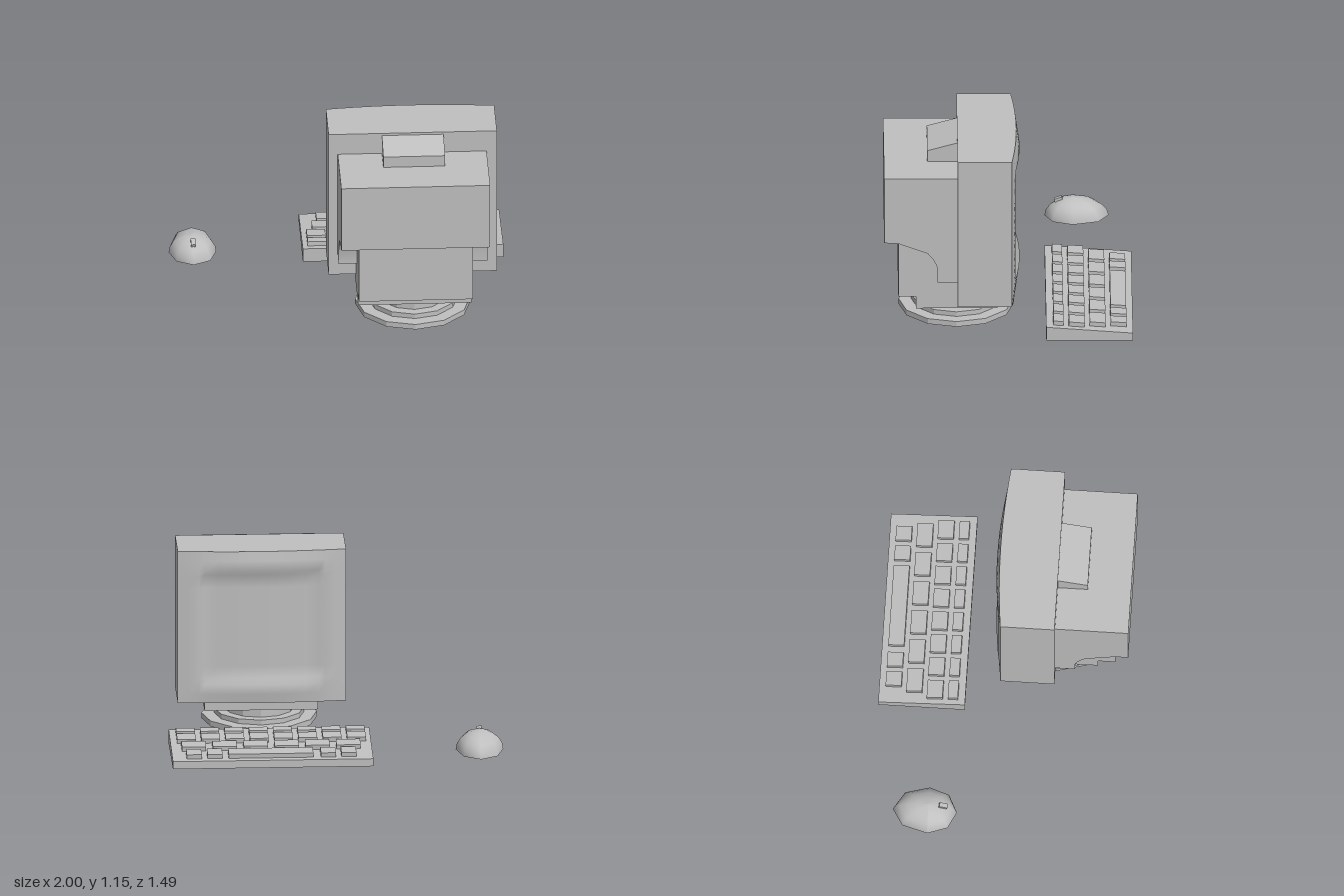
import * as THREE from 'three';
import { toCreasedNormals } from 'three/addons/utils/BufferGeometryUtils.js';

const plastic = new THREE.MeshStandardMaterial({ name: 'greyPlastic', color: 0xc0c0c0 });
const flatPlastic = plastic.clone();
flatPlastic.flatShading = true;

function add(parent, name, geometry, material = plastic) {
  const mesh = new THREE.Mesh(geometry, material);
  mesh.name = name;
  parent.add(mesh);
  return mesh;
}

// Box from its min and max on each axis
function block(parent, name, [x0, x1], [y0, y1], [z0, z1]) {
  const g = new THREE.BoxGeometry(x1 - x0, y1 - y0, z1 - z0);
  g.translate((x0 + x1) / 2, (y0 + y1) / 2, (z0 + z1) / 2);
  return add(parent, name, g);
}

// Side profile of [z, y] points, extruded from x0 to x1
function sideProfile(parent, name, points, x0, x1) {
  const shape = new THREE.Shape(points.map(([z, y]) => new THREE.Vector2(z, y)));
  const g = new THREE.ExtrudeGeometry(shape, { depth: x1 - x0, bevelEnabled: false });
  g.rotateY(-Math.PI / 2).translate(x1, 0, 0);
  return add(parent, name, toCreasedNormals(g, 0.6));
}

// Front housing: bowed bezel around a sunken, gently curved screen
function housingGeometry() {
  const half = [0, 0.17, 0.34, 0.52, 0.68, 0.75, 0.88, 1];
  const n = half.length - 1;
  const steps = [...half.slice(1).reverse().map(v => -v), ...half];
  const g = new THREE.BoxGeometry(2, 2, 2, 2 * n, 2 * n, 1);
  const p = g.attributes.position;
  const remap = t => steps[Math.round((t + 1) * n)];
  for (let i = 0; i < p.count; i++) {
    const u = remap(p.getX(i)), v = remap(p.getY(i));
    let z = 0.305;
    if (p.getZ(i) < 0) {
      const m = Math.max(Math.abs(u), Math.abs(v)), bow = 1 - u * u;
      z = m > 0.7
        ? -0.02 - (0.03 + 0.02 * (1 - m) / 0.25) * bow
        : -0.005 - 0.03 * bow;
    }
    p.setXYZ(i, 0.43 + 0.505 * u, 0.675 + 0.475 * v, z);
  }
  g.computeVertexNormals();
  return g;
}

function makeMonitor() {
  const monitor = new THREE.Group();
  monitor.name = 'monitor';
  add(monitor, 'screenHousing', housingGeometry());
  sideProfile(monitor, 'rearCabinet', [
    [0.305, 1.015], [0.745, 1.015], [0.745, 0.595], [0.66, 0.59], [0.485, 0.525],
    [0.455, 0.49], [0.435, 0.455], [0.425, 0.42], [0.425, 0.335], [0.305, 0.335],
  ], -0.02, 0.873);
  sideProfile(monitor, 'topWedge',
    [[0.305, 1.01], [0.485, 1.01], [0.485, 1.085], [0.305, 1.135]], 0.245, 0.615);
  block(monitor, 'lowerCabinet', [0.09, 0.773], [0.2, 0.6], [0.3, 0.66]);
  block(monitor, 'swivelBlock', [0.09, 0.77], [0.12, 0.202], [0.065, 0.555]);

  // Stepped round stand
  for (const [name, r, y0, y1] of [
    ['standFoot', 0.346, 0, 0.034], ['standRing', 0.27, 0.034, 0.064], ['standNeck', 0.21, 0.064, 0.122],
  ]) {
    const g = new THREE.CylinderGeometry(r, r, y1 - y0, 12);
    g.translate(0.43, (y0 + y1) / 2, 0.31);
    add(monitor, name, g, flatPlastic);
  }
  return monitor;
}

function makeKeyboard() {
  const keyboard = new THREE.Group();
  keyboard.name = 'keyboard';
  sideProfile(keyboard, 'keyboardCase',
    [[-0.745, 0.008], [-0.225, 0.008], [-0.225, 0.095], [-0.745, 0.055]], -0.203, 1);

  // Each key lies parallel to the sloping top
  const slope = 0.04 / 0.52;
  function key(x0, width, z0, z1) {
    const z = (z0 + z1) / 2;
    const mesh = add(keyboard, 'key', new THREE.BoxGeometry(width, 0.036, z1 - z0));
    mesh.position.set(x0 + width / 2, 0.095 + (z + 0.225) * slope + 0.009, z);
    mesh.rotation.x = -Math.atan(slope);
  }
  for (const [x, w] of [[-0.103, 0.09], [0.02, 0.09], [0.155, 0.508], [0.7, 0.09], [0.825, 0.09]])
    key(x, w, -0.706, -0.611);
  for (let i = 0; i < 6; i++) key(-0.135 + i * 0.1855, 0.145, -0.58, -0.485);
  for (let i = 0; i < 8; i++) {
    key(-0.172 + i * 0.1457, 0.112, -0.455, -0.36);
    key(-0.172 + i * 0.1457, 0.112, -0.328, -0.268);
  }
  return keyboard;
}

function makeMouse() {
  const mouse = new THREE.Group();
  mouse.name = 'mouse';
  mouse.position.set(-0.857, 0, -0.4);

  // Egg plan: longer towards -z
  const egg = g => {
    const p = g.attributes.position;
    for (let i = 0; i < p.count; i++) {
      const z = p.getZ(i);
      p.setXYZ(i, p.getX(i) * 0.143, p.getY(i) * 0.12, z * (z > 0 ? 0.17 : 0.215));
    }
    g.computeVertexNormals();
    return g;
  };
  add(mouse, 'mouseShell', egg(new THREE.SphereGeometry(1, 8, 5, 0, Math.PI * 2, 0, Math.PI / 2)));
  add(mouse, 'mouseUnderside', egg(new THREE.CircleGeometry(1, 8).rotateX(Math.PI / 2)));
  const button = add(mouse, 'mouseButton', new THREE.BoxGeometry(0.028, 0.03, 0.05));
  button.position.set(0, 0.102, 0.085);
  button.rotation.x = 0.35;
  return mouse;
}

export function createModel() {
  const model = new THREE.Group();
  model.name = 'desktopComputer';
  model.add(makeMonitor(), makeKeyboard(), makeMouse());
  return model;
}
